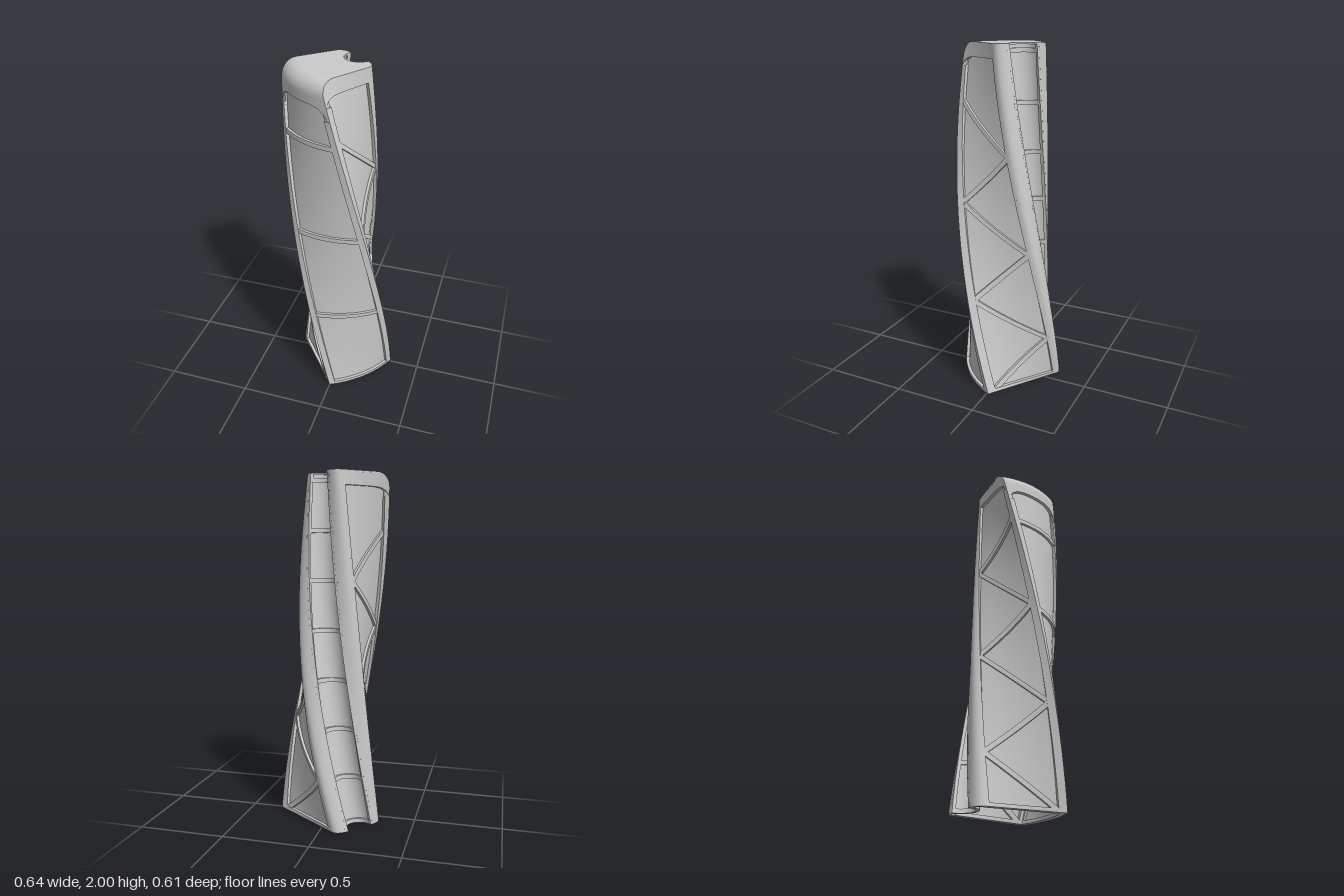
import * as THREE from 'three';
import { mergeGeometries } from 'three/addons/utils/BufferGeometryUtils.js';

const H = 2, FILLET = 0.08, GROOVE = 0.08, RECESS = 0.018;
const mix = (a, b, t) => a + (b - a) * t;
const mat = new THREE.MeshStandardMaterial({ color: 0xcccccc, side: THREE.DoubleSide });

// Plan corner at height y: angle and radius blend from base to roof
function corner(a0, a1, r0, r1, y) {
  const a = THREE.MathUtils.degToRad(mix(a0, a1, y / H)), r = mix(r0, r1, y / H);
  return new THREE.Vector2(r * Math.cos(a), -r * Math.sin(a));
}
const toward = (p, q, d) => p.clone().add(q.clone().sub(p).setLength(d));

// Twisting plan: C-D is the bowed front, A-B carries the groove
function plan(y) {
  const A = corner(167, 107, 0.325, 0.21, y), B = corner(109, 2, 0.335, 0.165, y);
  let C = corner(362, 264, 0.32, 0.293, y), D = corner(270, 187, 0.313, 0.323, y);
  const k = Math.max(0, y - (H - FILLET));
  const inset = FILLET - Math.sqrt(Math.max(0, FILLET * FILLET - k * k));
  if (inset > 1e-6) { C = toward(C, B, inset); D = toward(D, A, inset); }
  const mid = A.clone().lerp(B, 0.5);
  return {
    A, B, C, D, mid, sideA: toward(A, D, 0.05), sideB: toward(B, C, 0.05),
    lipA: toward(mid, A, GROOVE), lipB: toward(mid, B, GROOVE),
  };
}
function bezier(a, b, c, u) {
  return a.clone().multiplyScalar((1 - u) ** 2).addScaledVector(b, 2 * u * (1 - u)).addScaledVector(c, u * u);
}

// Each wall is a curve across the plan, u running from 0 to 1
const walls = {
  front(u, p) {
    const d = p.D.clone().sub(p.C).normalize();
    return p.C.clone().lerp(p.D, u).addScaledVector(new THREE.Vector2(d.y, -d.x), 0.16 * u * (1 - u));
  },
  rightSide: (u, p) => p.D.clone().lerp(p.sideA, u),
  rightRib: (u, p) => bezier(p.sideA, p.A, p.lipA, u),
  groove(u, p) {
    const e = p.lipA.clone().sub(p.mid), inward = new THREE.Vector2(e.y, -e.x);
    const a = u * Math.PI;
    return p.mid.clone().addScaledVector(e, Math.cos(a)).addScaledVector(inward, Math.sin(a));
  },
  leftRib: (u, p) => bezier(p.lipB, p.B, p.sideB, u),
  leftSide: (u, p) => p.sideB.clone().lerp(p.C, u),
};
// The groove must bend into the body, so its bulge side is checked against the centre of the front
{
  const p = plan(1), f = p.C.clone().lerp(p.D, 0.5);
  const base = walls.groove;
  if (base(0.5, p).distanceTo(f) > p.mid.distanceTo(f))
    walls.groove = (u, q) => {
      const g = base(u, q), ax = q.lipB.clone().sub(q.lipA).normalize();
      const v = g.sub(q.mid), along = v.dot(ax);
      return q.mid.clone().addScaledVector(ax, 2 * along).sub(v);
    };
}

// Point on a wall, pushed out by d
function onWall(wall, u, y, d) {
  const p = plan(y), c = walls[wall](u, p), e = 0.001;
  const t = walls[wall](u + e, p).sub(walls[wall](u - e, p)).normalize();
  return [c.x + t.y * d, y, c.y - t.x * d];
}
function grid(fn, ns, nt) {
  const pos = [], idx = [];
  for (let j = 0; j <= nt; j++) for (let i = 0; i <= ns; i++) pos.push(...fn(i / ns, j / nt));
  for (let j = 0; j < nt; j++) for (let i = 0; i < ns; i++) {
    const a = j * (ns + 1) + i, b = a + 1, c = a + ns + 1, d = c + 1;
    idx.push(a, c, b, b, c, d);
  }
  const g = new THREE.BufferGeometry();
  g.setAttribute('position', new THREE.Float32BufferAttribute(pos, 3));
  g.setIndex(idx);
  g.computeVertexNormals();
  return g;
}

// Solid piece of wall; map(s, t) gives [u, y], depth runs from d0 in to d1
function slab(wall, map, ns, nt, d0 = 0, d1 = -0.035) {
  const at = (s, t, k) => { const [u, y] = map(s, t); return onWall(wall, u, y, mix(d0, d1, k)); };
  return mergeGeometries([
    grid((s, t) => at(s, t, 0), ns, nt),
    grid((s, t) => at(1 - s, t, 1), ns, nt),
    grid((s, t) => at(s, 0, 1 - t), ns, 1),
    grid((s, t) => at(s, 1, t), ns, 1),
    grid((s, t) => at(0, t, 1 - s), 1, nt),
    grid((s, t) => at(1, t, s), 1, nt),
  ]);
}
const rect = (u0, u1, y0, y1) => (s, t) => [mix(u0, u1, s), mix(y0, y1, t)];
const bar = (u0, y0, u1, y1, w) => (s, t) =>
  [mix(u0, u1, s), Math.max(0, mix(y0, y1, s) + (t - 0.5) * w)];

export function createModel() {
  const model = new THREE.Group();
  const add = (name, geo) => {
    const m = new THREE.Mesh(geo, mat);
    m.name = name;
    model.add(m);
  };
  const panel = (name, wall, u0, u1, top, ns) =>
    add(name, grid((s, t) => onWall(wall, mix(u0, u1, s), t * top, -RECESS), ns, 60));

  // Header whose lower edge drops at the corners
  const header = (apex, drop, ends) => (s, t) => {
    const lo = apex - drop * ends(s);
    return [s, mix(lo, H, Math.sin(t * Math.PI / 2))];
  };

  // Front: frame, panel and cross mullions
  panel('frontPanel', 'front', 0.02, 0.98, 1.9, 16);
  add('frontLeftFrame', slab('front', rect(0, 0.08, 0, 1.8), 2, 50));
  add('frontRightFrame', slab('front', rect(0.92, 1, 0, 1.8), 2, 50));
  add('frontHeader', slab('front', header(1.87, 0.08, s => (2 * s - 1) ** 6), 32, 14));
  add('frontBaseBand', slab('front', rect(0, 1, 0, 0.02), 16, 1));
  for (const y of [0.54, 1.09, 1.65])
    add('frontMullion', slab('front', rect(0.05, 0.95, y - 0.013, y + 0.013), 16, 1, -0.003, -0.03));

  // Both sides: corner frame, panel and zigzag braces; f is the u of the front corner
  for (const [wall, f] of [['leftSide', 1], ['rightSide', 0]]) {
    const U = v => f ? 1 - v : v;
    const span = (a, b, y0, y1) => rect(Math.min(U(a), U(b)), Math.max(U(a), U(b)), y0, y1);
    panel(wall + 'Panel', wall, 0, 1, 1.94, 4);
    add(wall + 'FrontFrame', slab(wall, span(0, 0.11, 0, 1.87), 2, 50));
    add(wall + 'RearFrame', slab(wall, span(0.96, 1, 0, 1.95), 1, 50));
    add(wall + 'Header', slab(wall, header(1.92, 0.05, s => (f ? s : 1 - s) ** 10), 24, 12));
    add(wall + 'BaseBand', slab(wall, rect(0, 1, 0, 0.02), 4, 1));
    for (let i = 0; i < 6; i++) {
      const a = i % 2 ? 0.98 : 0.08, b = i % 2 ? 0.08 : 0.98, y = i * 0.28;
      const ends = f ? [U(b), y + 0.28, U(a), y] : [a, y, b, y + 0.28];
      const up = ends[0] < ends[2] ? ends : [ends[2], ends[3], ends[0], ends[1]];
      add(wall + 'Brace', slab(wall, bar(...up, 0.034), 14, 1, -0.003, -0.03));
    }
  }

  // Rear: rounded ribs beside the groove, groove lining and bands
  for (const rib of ['rightRib', 'leftRib'])
    add(rib, slab(rib, rect(0, 1, 0, H), 10, 60, 0, -0.02));
  add('grooveLining', grid((s, t) => onWall('groove', s, t * H, -0.012), 16, 60));
  for (let i = 0; i <= 7; i++) {
    const y = Math.min(Math.max(i * 0.28, 0.012), 1.985);
    add('grooveBand', slab('groove', rect(0, 1, y - 0.012, y + 0.012), 16, 1, 0, -0.02));
  }

  // Roof cap following the top outline
  const p = plan(H), outline = [];
  for (const wall of Object.keys(walls))
    for (let i = 0; i < 16; i++) {
      const q = walls[wall](i / 16, p);
      outline.push(new THREE.Vector2(q.x, -q.y));
    }
  const roof = new THREE.ExtrudeGeometry(new THREE.Shape(outline), { depth: 0.01, bevelEnabled: false });
  roof.rotateX(-Math.PI / 2);
  roof.translate(0, H - 0.01, 0);
  add('roof', roof);
  return model;
}
